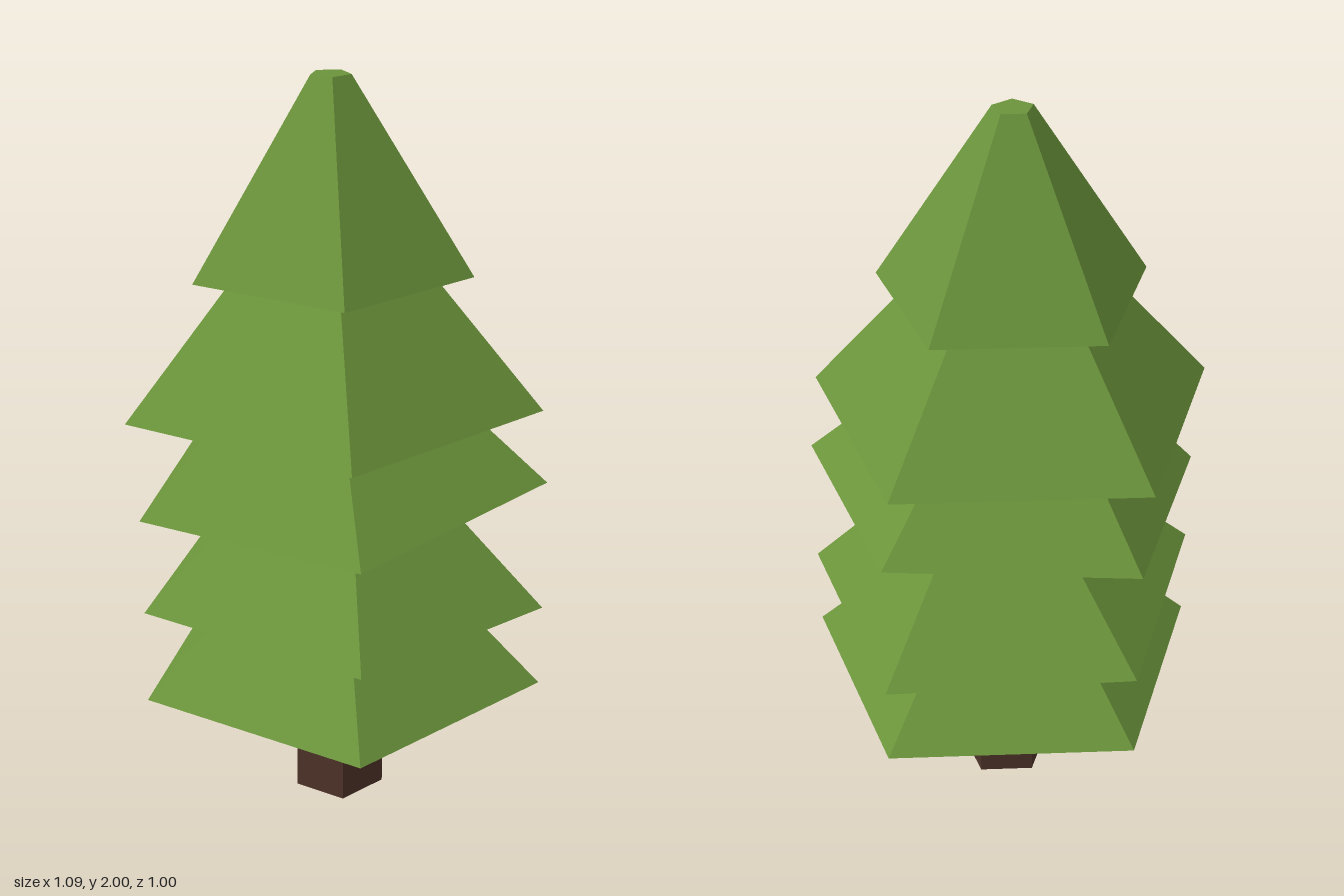
import * as THREE from 'three';

const SIDES = 5;

// Five-sided bough skirt: sloped outside, flat rim below, shallow hollow underneath
function skirtGeometry(baseR, topR, height) {
  const slope = (baseR - topR) / height;
  const innerR = baseR * 0.69;
  const depth = baseR * 0.27;
  const profile = [
    [0, depth], [innerR - depth * slope, depth], [innerR, 0],
    [baseR, 0], [topR, height], [0, height],
  ].map(([r, y]) => new THREE.Vector2(r, y));
  return new THREE.LatheGeometry(profile, SIDES, Math.PI);
}

export function createModel() {
  const tree = new THREE.Group();
  tree.name = 'pineTree';
  const leaf = new THREE.MeshStandardMaterial({ color: 0x6b943b, flatShading: true });
  const bark = new THREE.MeshStandardMaterial({ color: 0x4d3228, flatShading: true });

  // Trunk, running up into the lowest skirt
  const trunk = new THREE.Mesh(
    new THREE.CylinderGeometry(0.126, 0.126, 0.6, SIDES, 1, false, Math.PI), bark);
  trunk.name = 'trunk';
  trunk.position.set(0.015, 0.3, 0.054);
  tree.add(trunk);

  // Skirts from bottom to top; two of them lean sideways
  const skirts = [
    { x: 0.015, y: 0.37, baseR: 0.555, topR: 0.1, height: 0.45, tilt: 0 },
    { x: 0.015, y: 0.61, baseR: 0.555, topR: 0.1, height: 0.45, tilt: -0.038 },
    { x: 0.01, y: 0.937, baseR: 0.555, topR: 0.1, height: 0.45, tilt: 0.08 },
    { x: -0.02, y: 1.17, baseR: 0.555, topR: 0.1, height: 0.53, tilt: 0 },
    { x: -0.02, y: 1.51, baseR: 0.368, topR: 0.053, height: 0.49, tilt: 0 },
  ];
  skirts.forEach((s, i) => {
    const mesh = new THREE.Mesh(skirtGeometry(s.baseR, s.topR, s.height), leaf);
    mesh.name = `boughSkirt${i + 1}`;
    mesh.position.set(s.x, s.y, 0.053);
    mesh.rotation.z = s.tilt;
    tree.add(mesh);
  });

  return tree;
}
